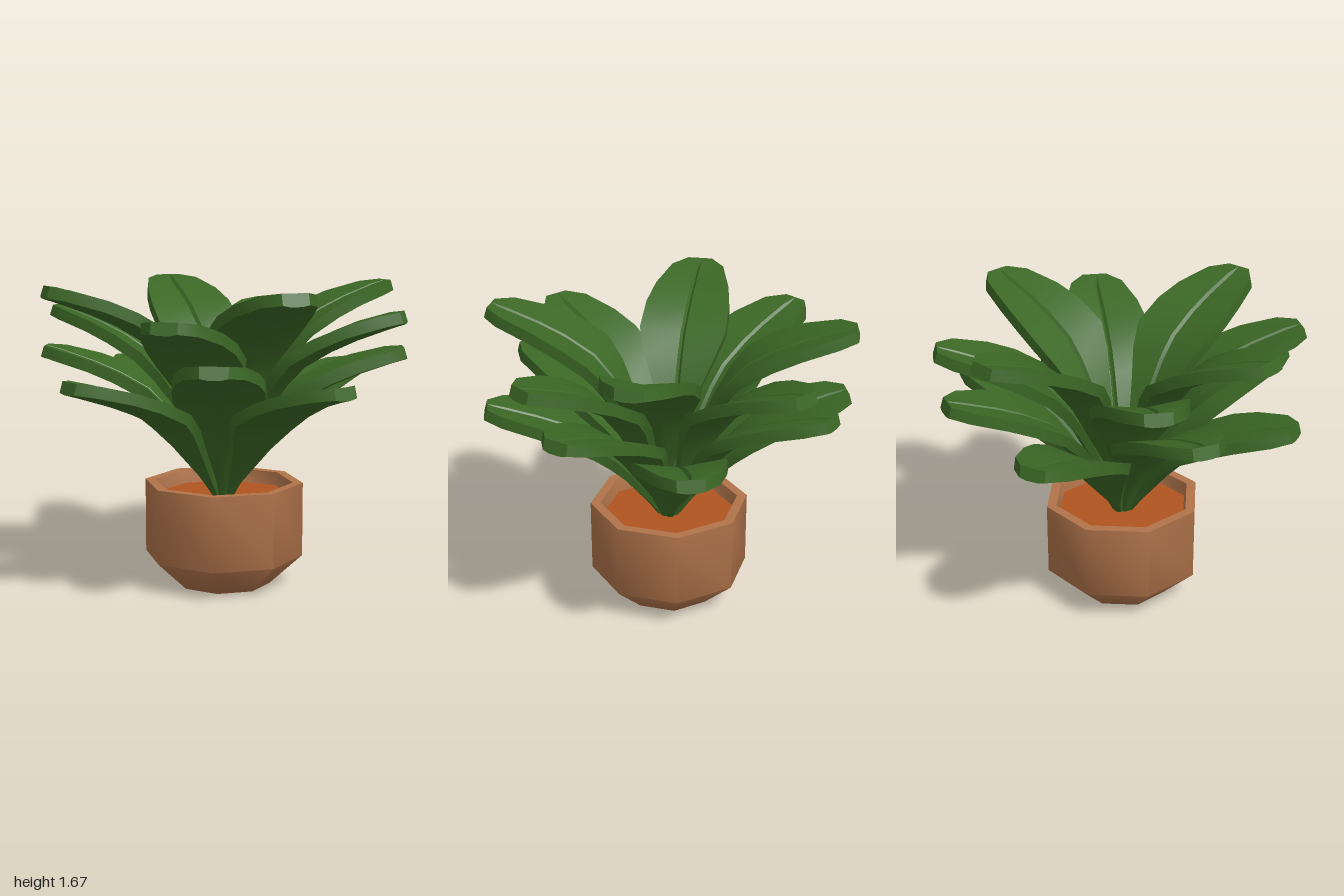
import * as THREE from 'three';
import { toCreasedNormals } from 'three/addons/utils/BufferGeometryUtils.js';

const BASE_Y = 0.48;
// Stations along a leaf: radius, relative height, half width, half thickness, fold slope
const STATIONS = [
  [0.03, 0, 0.016, 0.012, 0.1], [0.1, 0.15, 0.04, 0.015, 0.14], [0.25, 0.43, 0.13, 0.022, 0.14],
  [0.34, 0.575, 0.195, 0.027, 0.14], [0.43, 0.69, 0.242, 0.03, 0.14], [0.58, 0.8, 0.237, 0.031, 0.13],
  [0.72, 0.88, 0.21, 0.031, 0.12], [0.9, 0.965, 0.15, 0.031, 0.08], [0.983, 1, 0.07, 0.03, 0],
];

// Thick, slightly folded leaf along +x with a groove on top and a keel beneath
function leafGeometry(tipY, bend) {
  const spine = STATIONS.map(([r, f]) => new THREE.Vector2(r, BASE_Y + (tipY - BASE_Y) * Math.pow(f, bend)));
  const positions = [];
  const index = [];
  STATIONS.forEach(([, , w, t, fold], i) => {
    const p = spine[i];
    const tangent = spine[Math.min(i + 1, spine.length - 1)].clone().sub(spine[Math.max(i - 1, 0)]).normalize();
    const vein = Math.min(0.014, w * 0.4);
    const keel = Math.min(0.03, w * 0.6);
    const groove = i === STATIONS.length - 1 ? 0 : 0.016;
    const add = (s, n) => {
      const lift = n + fold * Math.abs(s);
      positions.push(p.x - tangent.y * lift, p.y + tangent.x * lift, s);
    };
    [-w, -vein, 0, vein, w].forEach((s, j) => add(s, j === 2 ? t - groove : t));
    [w, keel, 0, -keel, -w].forEach((s) => add(s, Math.abs(s) < w ? -t - 0.008 : -t));
  });
  const quad = (a, b, c, d) => index.push(a, b, c, a, c, d);
  const last = (STATIONS.length - 1) * 10;
  for (let i = 0; i < last; i += 10) {
    for (let j = 0; j < 10; j++) {
      const k = (j + 1) % 10;
      quad(i + j, i + k, i + 10 + k, i + 10 + j);
    }
  }
  // End caps
  for (let j = 0; j < 4; j++) {
    quad(last + j, last + j + 1, last + 8 - j, last + 9 - j);
    quad(9 - j, 8 - j, j + 1, j);
  }
  const geometry = new THREE.BufferGeometry();
  geometry.setAttribute('position', new THREE.Float32BufferAttribute(positions, 3));
  geometry.setIndex(index);
  return toCreasedNormals(geometry, 0.5);
}

// Eight-sided turned part, smooth around and sharp along its profile
function octagonal(name, profile, material) {
  const lathe = new THREE.LatheGeometry(profile.map(([x, y]) => new THREE.Vector2(x, y)), 8);
  const mesh = new THREE.Mesh(toCreasedNormals(lathe, 0.8), material);
  mesh.name = name;
  return mesh;
}

export function createModel() {
  const model = new THREE.Group();
  const leafMaterial = new THREE.MeshStandardMaterial({ color: 0x3b6725 });
  const potMaterial = new THREE.MeshStandardMaterial({ color: 0xb0734a });
  const soilMaterial = new THREE.MeshStandardMaterial({ color: 0xb05420 });

  // Pot with a chamfered foot and a hollow rim, filled with soil
  model.add(octagonal('pot', [
    [0, 0], [0.26, 0], [0.44, 0.165], [0.44, 0.575], [0.385, 0.575], [0.37, 0.49],
  ], potMaterial));
  model.add(octagonal('soil', [[0.372, 0.5], [0, 0.495]], soilMaterial));

  // Four tiers of four leaves: tip height, curve exponent, turn in degrees
  const tiers = [[1.172, 1, 0], [1.298, 0.9, 40], [1.505, 0.77, 54], [1.64, 0.66, 17]];
  tiers.forEach(([tipY, bend, turn], t) => {
    const tier = new THREE.Group();
    tier.name = `leafTier${t + 1}`;
    const geometry = leafGeometry(tipY, bend);
    for (let k = 0; k < 4; k++) {
      const leaf = new THREE.Mesh(geometry, leafMaterial);
      leaf.name = 'leaf';
      leaf.rotation.y = -THREE.MathUtils.degToRad(turn + 90 * k);
      tier.add(leaf);
    }
    model.add(tier);
  });
  return model;
}
